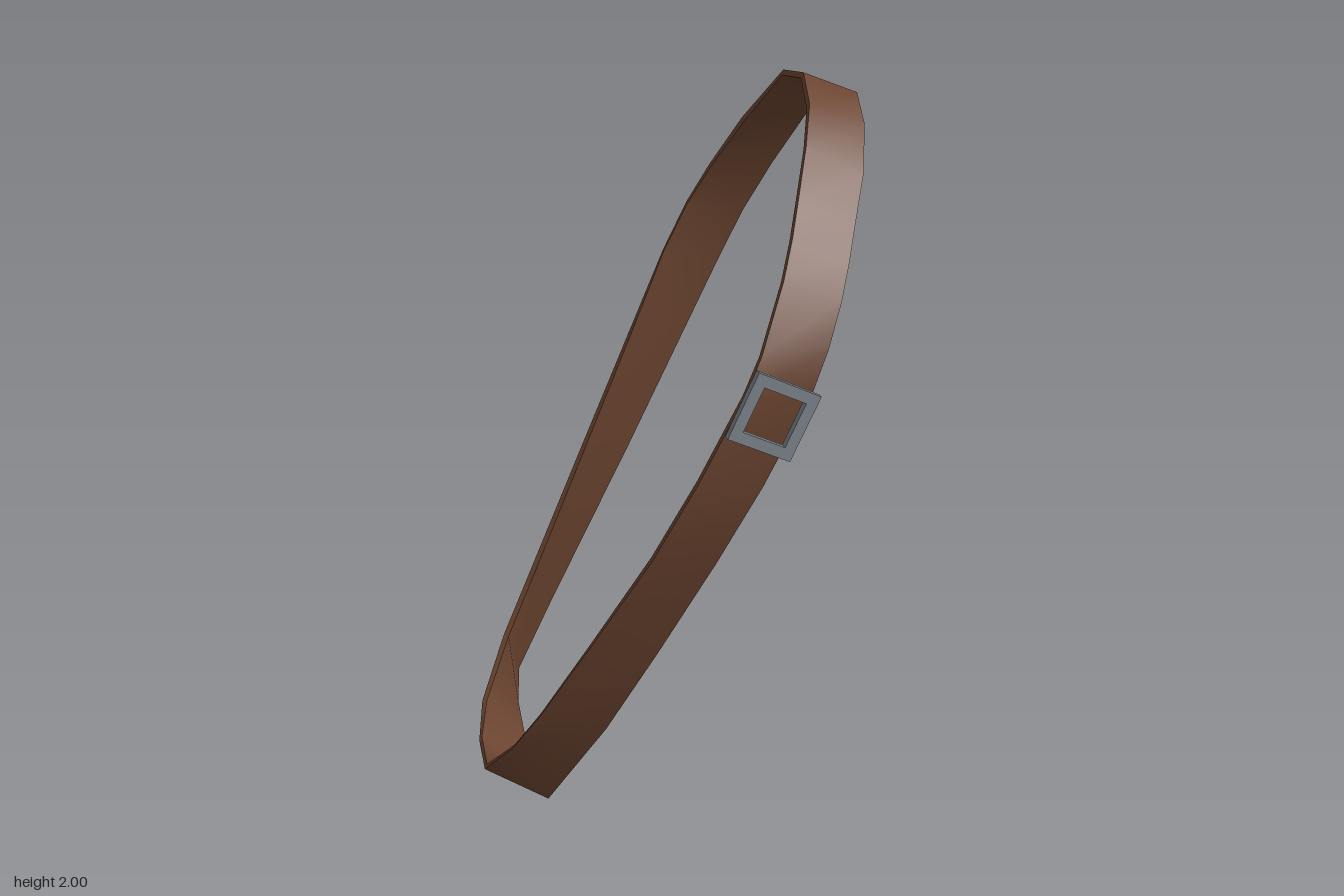
import * as THREE from 'three';

const leather = new THREE.MeshStandardMaterial({ color: 0x6b4430 });
leather.name = 'brownLeather';
const metal = new THREE.MeshStandardMaterial({ color: 0x7b838a });
metal.name = 'greyMetal';

// Cross-sections round the loop: [z, y] of the upper-left edge, [z, y] of the lower-right edge.
// Each edge lies in its own slanted plane, so x follows from y.
const SECTIONS = [
  [-0.18, 2.0, -0.18, 1.94], [-0.04, 1.96, -0.04, 1.9], [0.07, 1.89, 0.1, 1.82],
  [0.19, 1.795, 0.2, 1.73], [0.27, 1.73, 0.28, 1.66], [0.345, 1.655, 0.35, 1.59],
  [0.445, 1.51, 0.415, 1.5], [0.475, 1.42, 0.46, 1.4], [0.487, 1.2, 0.48, 1.17],
  [0.472, 0.98, 0.47, 0.95], [0.4, 0.68, 0.44, 0.67], [0.33, 0.41, 0.4, 0.4],
  [0.27, 0.26, 0.305, 0.09], [0.17, 0.11, 0.18, 0.03], [0.03, 0.1, -0.03, 0.014],
  [-0.1, 0.145, -0.25, 0], [-0.2, 0.31, -0.39, 0.035], [-0.255, 0.5, -0.42, 0.27],
  [-0.358, 0.85, -0.46, 0.8], [-0.455, 1.19, -0.488, 1.12], [-0.515, 1.4, -0.505, 1.35],
  [-0.525, 1.54, -0.518, 1.51], [-0.497, 1.66, -0.495, 1.66], [-0.435, 1.81, -0.445, 1.83],
  [-0.32, 1.97, -0.32, 1.905],
];
const THICKNESS = 0.016;

function strapGeometry() {
  const n = SECTIONS.length;
  const a = SECTIONS.map(([z, y]) => new THREE.Vector3(-0.555 + (y - 0.105) * 0.508, y, z));
  const b = SECTIONS.map(([, , z, y]) => new THREE.Vector3(-0.43 + y * 0.508, y, z));
  const mid = a.map((p, i) => p.clone().add(b[i]).multiplyScalar(0.5));

  // four corners per section: outer pair, then the pair set inward by the thickness
  const rings = a.map((p, i) => {
    const along = mid[(i + 1) % n].clone().sub(mid[(i + n - 1) % n]);
    const across = b[i].clone().sub(p);
    const inward = along.cross(across).normalize().multiplyScalar(-THICKNESS);
    return [p, b[i], b[i].clone().add(inward), p.clone().add(inward)];
  });

  // each side of the band has its own vertices: smooth along, sharp at the edges
  const positions = [], indices = [];
  for (let k = 0; k < 4; k++) {
    const base = k * n * 2;
    for (const ring of rings) positions.push(...ring[k].toArray(), ...ring[(k + 1) % 4].toArray());
    for (let i = 0; i < n; i++) {
      const p = base + i * 2, q = base + ((i + 1) % n) * 2;
      // the outer and inner faces share the same diagonal, so the twist keeps its thickness
      if (k < 2) indices.push(p, q, p + 1, q, q + 1, p + 1);
      else indices.push(p, q, q + 1, p, q + 1, p + 1);
    }
  }
  const geometry = new THREE.BufferGeometry();
  geometry.setAttribute('position', new THREE.Float32BufferAttribute(positions, 3));
  geometry.setIndex(indices);
  geometry.computeVertexNormals();
  return geometry;
}

function square(path, h) {
  path.moveTo(-h, -h).lineTo(h, -h).lineTo(h, h).lineTo(-h, h).closePath();
  return path;
}

export function createModel() {
  const model = new THREE.Group();
  model.name = 'shoulderStrap';

  // twisted leather loop
  const strap = new THREE.Mesh(strapGeometry(), leather);
  strap.name = 'strap';
  model.add(strap);

  // square frame buckle, tilted to lie on the front of the strap
  const frame = square(new THREE.Shape(), 0.088);
  frame.holes.push(square(new THREE.Path(), 0.059));
  const geometry = new THREE.ExtrudeGeometry(frame, { depth: 0.02, bevelEnabled: false });
  geometry.translate(0, 0, -0.01);
  const buckle = new THREE.Mesh(geometry, metal);
  buckle.name = 'buckle';
  const u = new THREE.Vector3(0.155, -0.08, -0.004).normalize();
  const w = u.clone().cross(new THREE.Vector3(0.08, 0.15, -0.028)).normalize();
  const v = w.clone().cross(u);
  buckle.quaternion.setFromRotationMatrix(new THREE.Matrix4().makeBasis(u, v, w));
  buckle.position.set(0.178, 1.375, 0.499);
  model.add(buckle);

  return model;
}
